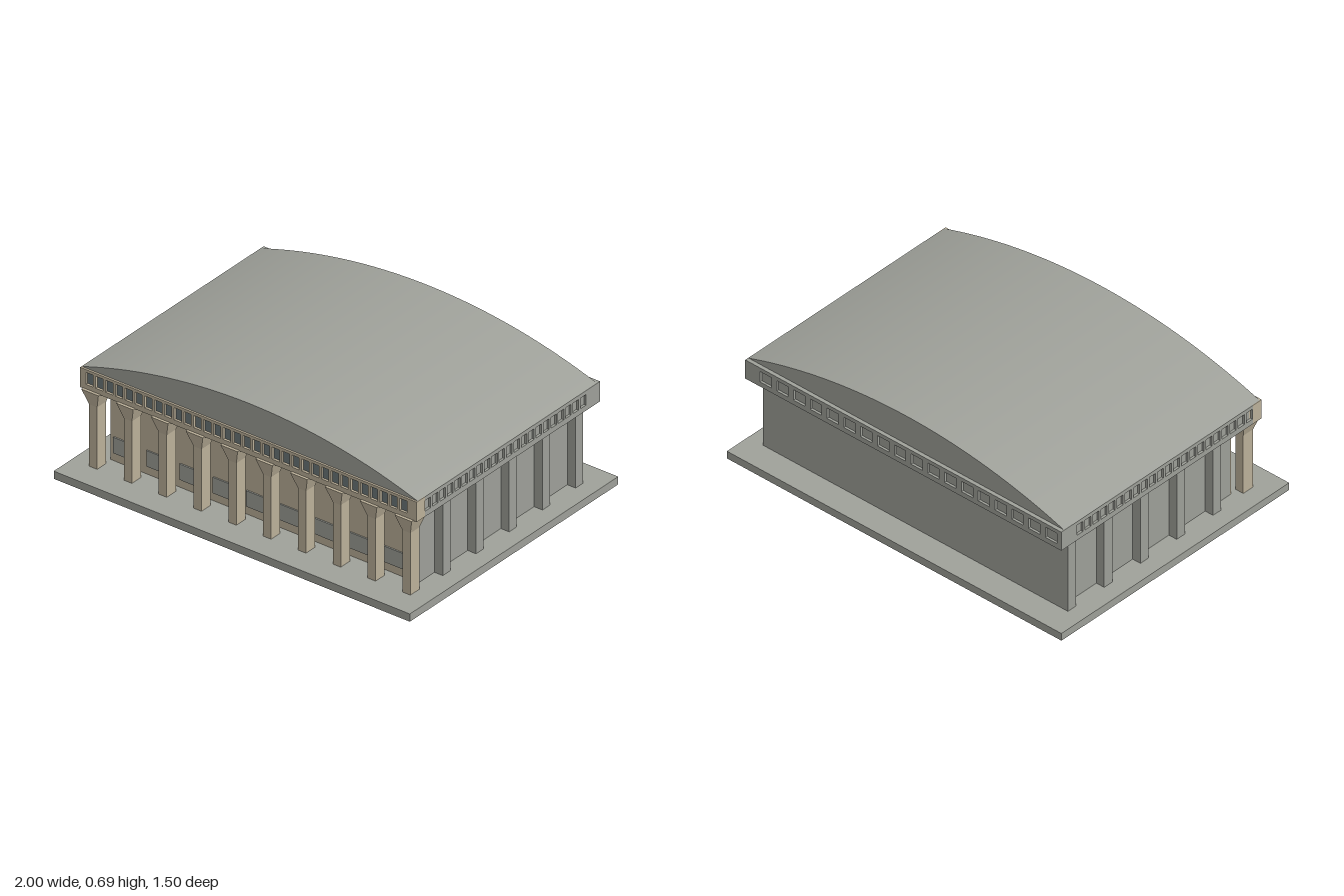
import * as THREE from 'three';
import { toCreasedNormals } from 'three/addons/utils/BufferGeometryUtils.js';

export function createModel() {
  const model = new THREE.Group();
  model.name = 'hall';

  const mat = (name, color) => {
    const m = new THREE.MeshStandardMaterial({ color });
    m.name = name;
    return m;
  };
  const concrete = mat('grey concrete', 0x9fa19a);
  const stone = mat('tan stone', 0xbdb29b);
  const glass = mat('dark glass', 0x6d7879);

  const add = (name, geometry, material, parent = model) => {
    const mesh = new THREE.Mesh(geometry, material);
    mesh.name = name;
    parent.add(mesh);
    return mesh;
  };
  // Box given by its minimum and maximum corners
  const box = (name, material, x0, x1, y0, y1, z0, z1, parent) => {
    const mesh = add(name, new THREE.BoxGeometry(x1 - x0, y1 - y0, z1 - z0), material, parent);
    mesh.position.set((x0 + x1) / 2, (y0 + y1) / 2, (z0 + z1) / 2);
    return mesh;
  };

  // Plinth and main body
  box('plinth', concrete, -1, 1, 0, 0.04, -0.75, 0.75);
  box('hallWalls', concrete, -0.865, 0.865, 0.04, 0.437, -0.61, 0.508);
  box('frontWall', stone, -0.865, 0.865, 0.04, 0.437, 0.508, 0.516);

  // Low windows in the front wall
  for (let i = 0; i < 9; i++) {
    const x = -0.775 + i * 0.1865;
    box('frontWindow', concrete, x - 0.069, x + 0.069, 0.083, 0.165, 0.515, 0.523);
  }

  // Side pilasters
  for (const side of [-1, 1]) {
    for (let i = 0; i < 5; i++) {
      const z = 0.373 - i * 0.239;
      const p = box('sidePilaster', concrete, 0.86, 0.912, 0.04, 0.437, z - 0.027, z + 0.027);
      p.position.x *= side;
    }
  }

  // Front columns with flared capitals
  const capital = new THREE.BoxGeometry(1, 0.08, 1);
  const pos = capital.attributes.position;
  for (let i = 0; i < pos.count; i++) {
    const top = pos.getY(i) > 0;
    pos.setX(i, pos.getX(i) * (top ? 0.096 : 0.045));
    pos.setZ(i, pos.getZ(i) * (top ? 0.112 : 0.065));
  }
  capital.computeVertexNormals();
  for (let i = 0; i < 10; i++) {
    const column = new THREE.Group();
    column.name = 'frontColumn';
    column.position.set(-0.88 + i * 0.1955, 0, 0.588);
    box('shaft', stone, -0.0225, 0.0225, 0.04, 0.362, -0.0325, 0.0325, column);
    add('capital', capital, stone, column).position.y = 0.4;
    model.add(column);
  }

  // Frieze: inner core, with a pierced panel on each side
  const Y0 = 0.437, Y1 = 0.54, D = 0.012;
  const pierced = (length, centres, w, h0, h1) => {
    const shape = new THREE.Shape();
    shape.moveTo(0, Y0).lineTo(length, Y0).lineTo(length, Y1).lineTo(0, Y1).closePath();
    for (const c of centres) {
      const hole = new THREE.Path();
      hole.moveTo(c - w / 2, h0).lineTo(c - w / 2, h1).lineTo(c + w / 2, h1).lineTo(c + w / 2, h0).closePath();
      shape.holes.push(hole);
    }
    return new THREE.ExtrudeGeometry(shape, { depth: D, bevelEnabled: false });
  };
  const row = (n, first, step) => Array.from({ length: n }, (_, i) => first + i * step);

  box('friezeCore', concrete, -0.945 + D, 0.945 - D, Y0, Y1, -0.69 + D, 0.56);
  box('friezeFrontCore', stone, -0.945 + D, 0.945 - D, Y0, Y1, 0.56, 0.61);
  box('friezeGlass', glass, -0.93, 0.93, 0.45, 0.53, 0.61, 0.618);

  const front = add('friezeFront', pierced(1.89, row(33, 0.052, 0.0551), 0.041, 0.463, 0.525), stone);
  front.position.set(-0.945, 0, 0.63 - D);

  const back = add('friezeBack', pierced(1.89, row(18, 0.122, 0.1004), 0.068, 0.463, 0.52), concrete);
  back.rotation.y = Math.PI;
  back.position.set(0.945, 0, -0.69 + D);

  // Side panels run from the tan front corner to the back
  const zEnd = 0.572, sideLength = zEnd + 0.69 - D;
  const sideRow = row(22, 0.023, 0.0532);
  const right = add('friezeSide', pierced(sideLength, sideRow, 0.04, 0.465, 0.52), concrete);
  right.rotation.y = Math.PI / 2;
  right.position.set(0.945 - D, 0, zEnd);
  const left = add('friezeSide', pierced(sideLength, sideRow.map(c => sideLength - c), 0.04, 0.465, 0.52), concrete);
  left.rotation.y = -Math.PI / 2;
  left.position.set(-0.945 + D, 0, -0.69 + D);
  for (const side of [-1, 1]) {
    const end = box('friezeCorner', stone, 0.945 - D, 0.945, Y0, Y1, zEnd, 0.63 - D);
    end.position.x *= side;
  }

  // Shallow vaulted roof
  const half = 0.942, rise = 0.155;
  const R = (half * half + rise * rise) / (2 * rise);
  const a = Math.asin(half / R);
  const arch = new THREE.Shape();
  arch.absarc(0, Y1 + rise - R, R, Math.PI / 2 - a, Math.PI / 2 + a, false);
  arch.closePath();
  const roof = new THREE.ExtrudeGeometry(arch, { depth: 1.29, bevelEnabled: false, curveSegments: 40 });
  add('vaultedRoof', toCreasedNormals(roof, 0.25), concrete).position.z = -0.67;

  return model;
}
